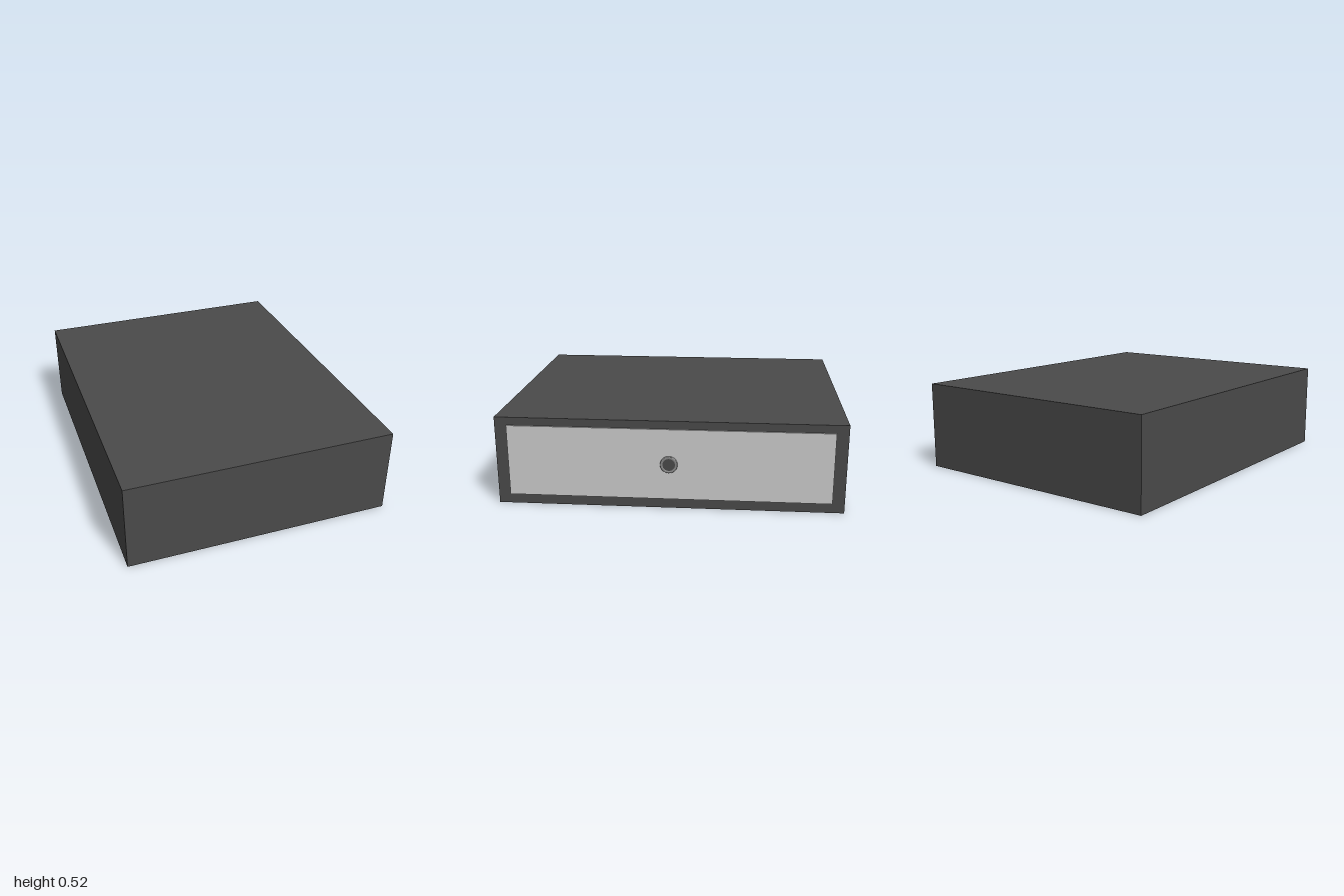
import * as THREE from 'three';

export function createModel() {
  const model = new THREE.Group();
  const dark = new THREE.MeshStandardMaterial({ color: 0x4a4a4a });
  const light = new THREE.MeshStandardMaterial({ color: 0xcccccc });
  const trim = new THREE.MeshStandardMaterial({ color: 0x8a8a8a });

  const add = (parent, name, geometry, material, x, y, z) => {
    const mesh = new THREE.Mesh(geometry, material);
    mesh.name = name;
    mesh.position.set(x, y, z);
    parent.add(mesh);
    return mesh;
  };

  // Closed cabinet body
  add(model, 'cabinetBody', new THREE.BoxGeometry(1.593, 0.525, 2), dark, -0.0105, 0.2625, 0);

  // Drawer front, slightly proud of the +x side
  add(model, 'drawerFront', new THREE.BoxGeometry(0.03, 0.42, 1.86), light, 0.78, 0.268, 0);

  // Round knob: axis turned from y to +x
  const knob = new THREE.Group();
  knob.name = 'knob';
  knob.position.set(0.795, 0.27, 0);
  knob.rotation.z = -Math.PI / 2;
  model.add(knob);

  // Bevelled rim with a shallow step down to the centre
  const rim = [[0.05, -0.005], [0.05, 0.008], [0.047, 0.012], [0.037, 0.012], [0.035, 0.008]];
  const rimGeometry = new THREE.LatheGeometry(rim.map(([r, h]) => new THREE.Vector2(r, h)), 40);
  const rimMaterial = trim.clone();
  rimMaterial.side = THREE.DoubleSide;
  add(knob, 'knobRim', rimGeometry, rimMaterial, 0, 0, 0);

  // Dark centre disc
  add(knob, 'knobCentre', new THREE.CylinderGeometry(0.0355, 0.0355, 0.014, 40), dark, 0, 0.002, 0);

  return model;
}
